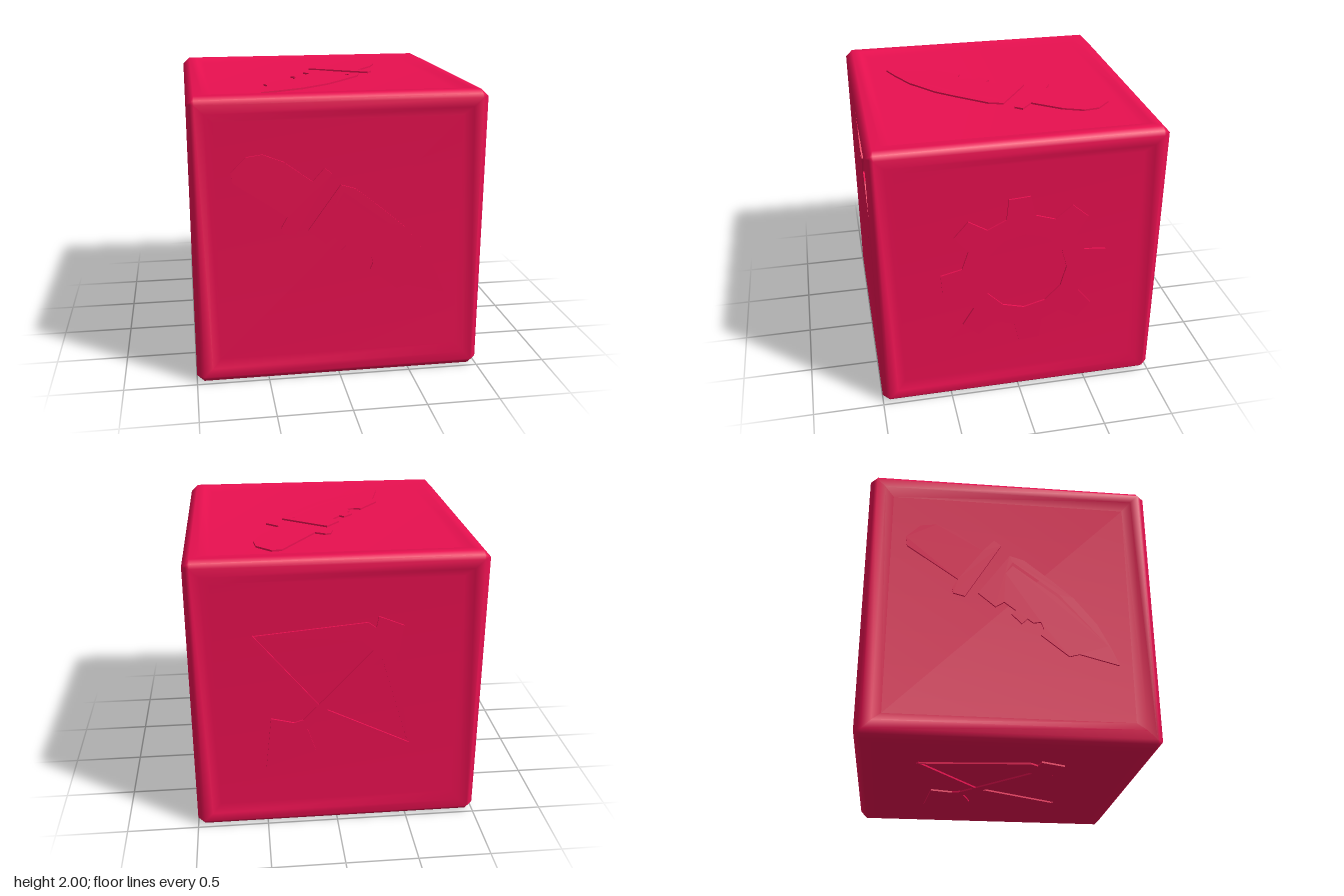
import * as THREE from 'three';
import { mergeGeometries, mergeVertices } from 'three/addons/utils/BufferGeometryUtils.js';

const material = new THREE.MeshStandardMaterial({ color: 0xe91050 });
const FLOOR = 0.965; // height of the sunken panel
const RELIEF = 0.012; // height of the emblems above the panel

// Turns a +z face toward each side of the cube
const H = Math.PI / 2;
const TURN = {
  front: [0, 0, 0], right: [0, H, 0], back: [0, 2 * H, 0],
  left: [0, -H, 0], top: [-H, 0, 0], bottom: [H, 0, 0],
};

// One face: chamfer, flat rim, slope down to the panel, panel
function faceGeometry() {
  const same = (r, z) => [[r, r, z], [r, r, z], [r, r, z]];
  const c = 0.95 + 0.05 / 3;
  const corners = [
    [[0.975, 0.95, 0.975], [c, c, c], [0.95, 0.975, 0.975]],
    same(0.95, 1), same(0.89, 1), same(0.83, FLOOR),
  ];
  const rings = corners.map((pts) => {
    const ring = [];
    for (let k = 0; k < 4; k++) {
      for (const p of pts) {
        ring.push(new THREE.Vector3(...p).applyAxisAngle(new THREE.Vector3(0, 0, 1), k * H));
      }
    }
    return ring;
  });
  const pos = [];
  const tri = (a, b, d) => {
    const area = b.clone().sub(a).cross(d.clone().sub(a)).length();
    if (area > 1e-7) for (const v of [a, b, d]) pos.push(v.x, v.y, v.z);
  };
  for (let r = 0; r < 3; r++) {
    for (let i = 0; i < 12; i++) {
      const j = (i + 1) % 12;
      tri(rings[r][i], rings[r][j], rings[r + 1][j]);
      tri(rings[r][i], rings[r + 1][j], rings[r + 1][i]);
    }
  }
  const p = rings[3];
  tri(p[0], p[3], p[6]);
  tri(p[0], p[6], p[9]);
  return new THREE.BufferGeometry().setAttribute('position', new THREE.Float32BufferAttribute(pos, 3));
}

function cubeGeometry() {
  const faces = Object.values(TURN).map((t) =>
    faceGeometry().applyMatrix4(new THREE.Matrix4().makeRotationFromEuler(new THREE.Euler(...t))));
  const g = mergeVertices(mergeGeometries(faces), 1e-4);
  g.computeVertexNormals();
  return g;
}

const poly = (pts) => new THREE.Shape(pts.map(([x, y]) => new THREE.Vector2(x, y)));

// Straight strip of width w from a to b
function strip(a, b, w) {
  const dx = b[0] - a[0], dy = b[1] - a[1], l = Math.hypot(dx, dy);
  const nx = (-dy / l) * w / 2, ny = (dx / l) * w / 2;
  return poly([[a[0] + nx, a[1] + ny], [a[0] - nx, a[1] - ny], [b[0] - nx, b[1] - ny], [b[0] + nx, b[1] + ny]]);
}

function knifeShapes() {
  const handle = poly([
    [0.1, 0.38], [0.35, 0.74], [0.42, 0.75], [0.52, 0.65], [0.535, 0.54], [0.48, 0.4],
    [0.34, 0.21], [0.43, 0.13], [0.39, 0.08], [-0.03, 0.33], [-0.01, 0.41], [0.03, 0.42],
  ]);
  // Blade with a notched spine and a curved cutting edge
  const blade = poly([
    [0, 0.24], [0.31, 0.02], [0.28, -0.08], [0.12, -0.28], [0, -0.42], [-0.2, -0.58],
    [-0.38, -0.67], [-0.5, -0.72], [-0.43, -0.45], [-0.45, -0.38], [-0.3, -0.19], [-0.25, -0.21],
    [-0.2, -0.19], [-0.21, -0.14], [-0.18, -0.1], [-0.22, -0.06], [-0.15, 0.01], [-0.12, -0.02],
    [-0.06, 0.06], [-0.1, 0.12],
  ]);
  // Groove along the cutting edge
  blade.holes.push(poly([[0.17, 0.05], [0.26, 0], [0.02, -0.32], [-0.36, -0.65], [0, -0.31], [0.23, 0]]));
  return [handle, blade];
}

function gearShapes() {
  const pts = [], teeth = 8, tilt = 0.07;
  for (let i = 0; i < teeth; i++) {
    const a = tilt + (i * 2 * Math.PI) / teeth;
    for (const [r, half] of [[0.43, 0.1], [0.58, 0.075], [0.58, -0.075], [0.43, -0.1]]) {
      pts.push([r * Math.cos(a) + half * Math.sin(a), r * Math.sin(a) - half * Math.cos(a)]);
    }
  }
  const gear = poly(pts);
  const hole = [];
  for (let i = 0; i < 12; i++) hole.push([0.3 * Math.cos(i * Math.PI / 6), 0.3 * Math.sin(i * Math.PI / 6)]);
  gear.holes.push(poly(hole));
  return [gear];
}

function bowShapes() {
  const tipA = [-0.58, 0.46], tipB = [0.5, -0.41], nock = [-0.12, -0.1];
  return [
    // Limbs and grip
    poly([tipA, [0.2, 0.53], [0.32, 0.44], [0.39, 0.3], tipB, [0.3, 0.26], [0.16, 0.4]]),
    // Drawn string
    strip(tipA, nock, 0.025), strip(tipB, nock, 0.025),
    // Arrow shaft, head and feathers
    strip([-0.32, -0.32], [0.32, 0.36], 0.07),
    poly([[0.44, 0.5], [0.27, 0.57], [0.24, 0.42], [0.3, 0.34], [0.41, 0.3]]),
    poly([[-0.5, -0.54], [-0.15, -0.43], [-0.2, -0.28], [-0.24, -0.18], [-0.3, -0.2], [-0.46, -0.16]]),
  ];
}

// Raised emblem on one side, turned by spin and shifted within the panel
function emblem(name, shapes, side, spin = 0, x = 0, y = 0) {
  const depth = 0.02 + RELIEF;
  const mesh = new THREE.Mesh(new THREE.ExtrudeGeometry(shapes, { depth, bevelEnabled: false }), material);
  mesh.position.set(x, y, FLOOR + RELIEF - depth);
  mesh.rotation.z = spin;
  const holder = new THREE.Group();
  holder.name = name;
  holder.rotation.set(...TURN[side]);
  holder.position.y = 1;
  holder.add(mesh);
  return holder;
}

export function createModel() {
  const model = new THREE.Group();
  model.name = 'emblemCube';

  const cube = new THREE.Mesh(cubeGeometry(), material);
  cube.name = 'panelledCube';
  cube.position.y = 1;
  model.add(cube);

  model.add(
    emblem('topKnife', knifeShapes(), 'top'),
    emblem('frontKnife', knifeShapes(), 'front', H, 0.02, 0.075),
    emblem('sideKnife', knifeShapes(), 'left', H, 0.02, 0.075),
    emblem('gear', gearShapes(), 'right', 0, 0.03, 0),
    emblem('backBow', bowShapes(), 'back'),
    emblem('bottomBow', bowShapes(), 'bottom', H, 0.04, 0),
  );
  return model;
}
